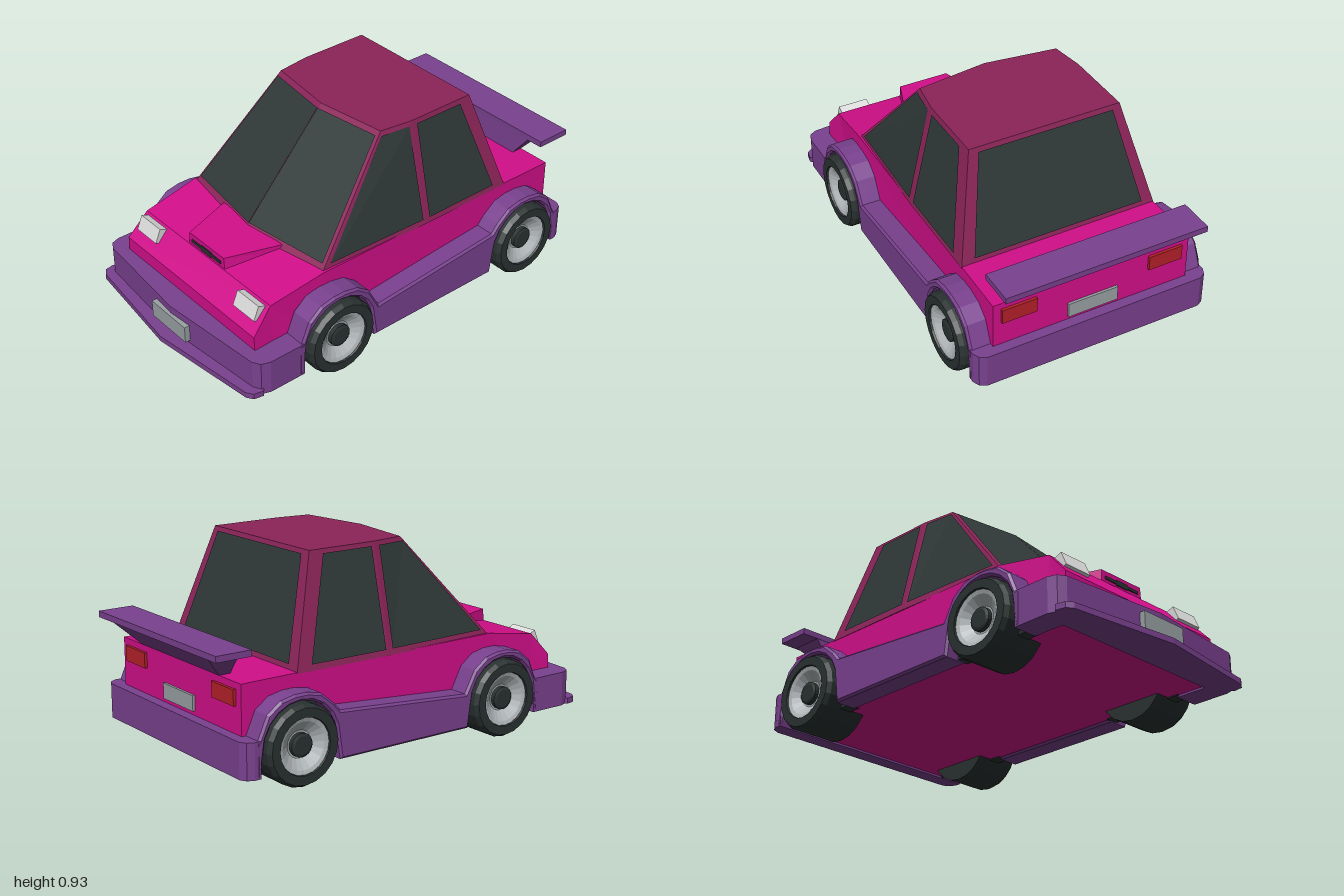
import * as THREE from 'three';

const mat = (name, color) => {
  const m = new THREE.MeshStandardMaterial({ color });
  m.name = name;
  return m;
};

export function createModel() {
  const car = new THREE.Group();
  car.name = 'car';
  const magenta = mat('magentaPaint', 0xd20f8a);
  const maroon = mat('cabinPaint', 0x8c2459);
  const purple = mat('purpleTrim', 0x7a418f);
  const glass = mat('glass', 0x2f3938);
  const rubber = mat('rubber', 0x2a3231);
  const steel = mat('steel', 0xb2b7ba);
  const white = mat('lampWhite', 0xdcdcdc);
  const grey = mat('plateGrey', 0x9aa1a4);
  const red = mat('lampRed', 0xb5202a);

  // Adds a faceted mesh
  const add = (name, geo, material, parent = car) => {
    const g = geo.index ? geo.toNonIndexed() : geo;
    g.computeVertexNormals();
    const mesh = new THREE.Mesh(g, material);
    mesh.name = name;
    parent.add(mesh);
    return mesh;
  };
  const box = (name, m, w, h, d, x, y, z) => {
    const b = add(name, new THREE.BoxGeometry(w, h, d), m);
    b.position.set(x, y, z);
    return b;
  };
  const fromTriangles = (pts) => new THREE.BufferGeometry().setFromPoints(
    pts.map((p) => (p.isVector3 ? p : new THREE.Vector3(...p))));
  // Closed solid through matching rings (counterclockwise seen from the last one)
  const loft = (rings) => {
    const tri = [];
    const n = rings[0].length;
    for (let r = 0; r < rings.length - 1; r++) {
      const a = rings[r], b = rings[r + 1];
      for (let i = 0; i < n; i++) {
        const j = (i + 1) % n;
        tri.push(a[i], a[j], b[j], a[i], b[j], b[i]);
      }
    }
    const first = rings[0], last = rings[rings.length - 1];
    for (let i = 1; i < n - 1; i++) {
      tri.push(first[0], first[i + 1], first[i], last[0], last[i], last[i + 1]);
    }
    return fromTriangles(tri);
  };
  // Symmetric cross-section at one z
  const section = (z, y0, y1, xb, xt) => [[-xb, y0, z], [xb, y0, z], [xt, y1, z], [-xt, y1, z]];

  // Main body with sloping nose
  add('body', loft([
    section(-0.88, 0.085, 0.455, 0.475, 0.475),
    section(0.46, 0.085, 0.457, 0.475, 0.467),
    section(0.735, 0.085, 0.41, 0.475, 0.452),
    section(0.835, 0.085, 0.3, 0.475, 0.465),
  ]), magenta);

  // Hood scoop and its vent
  add('hoodScoop', loft([
    section(0.48, 0.43, 0.469, 0.21, 0.21),
    section(0.73, 0.395, 0.466, 0.13, 0.125),
  ]), magenta);
  box('scoopVent', rubber, 0.21, 0.014, 0.008, 0, 0.434, 0.731);
  box('scoopVentCentre', rubber, 0.07, 0.024, 0.008, 0, 0.434, 0.731);

  // Cabin: front centre, then around the left, back and right
  const ring = (y, f, fl, b, r) => [[0, y, f], [fl[0], y, fl[1]], [b[0], y, b[1]], [r[0], y, r[1]],
    [-r[0], y, r[1]], [-b[0], y, b[1]], [-fl[0], y, fl[1]]];
  const low = ring(0.45, 0.52, [0.457, 0.46], [0.475, -0.12], [0.475, -0.605]);
  const high = ring(0.93, 0.085, [0.34, 0.04], [0.362, -0.12], [0.362, -0.46]);
  add('cabin', loft([low, high]), maroon);

  // Windows: cabin side, then start and end along its lower and upper edge
  const V = (p) => new THREE.Vector3(...p);
  const windows = [
    ['windscreenLeft', 0, 0, 0.97, 0, 0.965], ['windscreenRight', 6, 0.03, 1, 0.035, 1],
    ['frontWindowLeft', 1, 0.04, 0.97, 0.07, 0.88], ['frontWindowRight', 5, 0.03, 0.96, 0.12, 0.93],
    ['rearWindowLeft', 2, 0.04, 0.86, 0.06, 0.8], ['rearWindowRight', 4, 0.14, 0.96, 0.2, 0.94],
    ['backWindow', 3, 0.06, 0.94, 0.06, 0.94],
  ];
  for (const [name, i, b0, b1, t0, t1] of windows) {
    const j = (i + 1) % 7;
    const a = V(low[i]), b = V(low[j]), c = V(high[j]), d = V(high[i]);
    const out = b.clone().sub(a).cross(d.clone().sub(a)).normalize().multiplyScalar(0.006);
    const at = (u, v) => a.clone().lerp(b, u).lerp(d.clone().lerp(c, u), v).add(out);
    const [p, q, r, s] = [at(b0, 0.055), at(b1, 0.055), at(t1, 0.96), at(t0, 0.96)];
    add(name, fromTriangles([p, q, r, p, r, s]), glass);
  }

  // Bumpers: plan outline given for one half as [x, z]
  const planSlab = (name, half, y0, y1) => {
    const pts = [...half, ...half.map(([x, z]) => [-x, z]).reverse()];
    const shape = new THREE.Shape(pts.map(([x, z]) => new THREE.Vector2(x, z)));
    const g = new THREE.ExtrudeGeometry(shape, { depth: y1 - y0, bevelEnabled: false });
    add(name, g.rotateX(Math.PI / 2).translate(0, y1, 0), purple);
  };
  planSlab('frontBumper', [[0.001, 0.935], [0.52, 0.89], [0.555, 0.87], [0.569, 0.83], [0.569, 0.65],
    [0.45, 0.65], [0.45, 0.8], [0.001, 0.8]], 0.075, 0.235);
  planSlab('frontLip', [[0.001, 0.997], [0.53, 0.935], [0.56, 0.915], [0.569, 0.87], [0.5, 0.82],
    [0.001, 0.82]], 0.075, 0.102);
  planSlab('rearBumper', [[0.001, -0.927], [0.525, -0.927], [0.555, -0.91], [0.569, -0.88],
    [0.569, -0.85], [0.45, -0.85], [0.001, -0.85]], 0.075, 0.235);

  // Side outlines are drawn as (z, y) and extruded across x
  const sideSlab = (name, shape, x0, x1, bevel, m) => {
    const g = new THREE.ExtrudeGeometry(shape, {
      depth: x1 - x0 - 2 * bevel, bevelEnabled: bevel > 0, bevelSize: bevel, bevelOffset: -bevel,
      bevelThickness: bevel, bevelSegments: 1, curveSegments: 12,
    });
    add(name, g.rotateY(-Math.PI / 2).translate(x1 - bevel, 0, 0), m);
  };
  const axles = [0.455, -0.65];
  const flare = [[0.205, 0.235], [0.165, 0.33], [0.1, 0.382], [0.03, 0.396], [-0.03, 0.396],
    [-0.1, 0.382], [-0.165, 0.335]];
  const arch = [];
  for (let k = 0; k <= 10; k++) {
    const t = (Math.PI * k) / 10;
    arch.push([-0.185 * Math.cos(t), 0.18 + 0.185 * Math.sin(t)]);
  }
  const opening = [[-0.2, 0.075], ...arch, [0.2, 0.075]];
  const shift = (pts, z) => pts.map(([a, b]) => [a + z, b]);
  const skirt = new THREE.Shape([
    [0.68, 0.075], [0.68, 0.235], ...shift(flare, axles[0]), [0.235, 0.235],
    [-0.45, 0.29], ...shift(flare.slice(1), axles[1]), [-0.86, 0.235], [-0.87, 0.235], [-0.87, 0.075],
    ...shift(opening, axles[1]), ...shift(opening, axles[0]),
  ].map(([a, b]) => new THREE.Vector2(a, b)));

  for (const [side, s] of [['left', 1], ['right', -1]]) {
    const span = (a, b) => (s > 0 ? [a, b] : [-b, -a]);
    sideSlab(side + 'SkirtAndFlares', skirt, ...span(0.455, 0.57), 0.01, purple);

    axles.forEach((z, i) => {
      const label = side + (i ? 'Rear' : 'Front');
      // Dark arch lining behind the wheel
      const lining = new THREE.Shape([[-0.205, 0.08], ...arch.map(([a, b]) => [a * 1.05, b + 0.008]),
        [0.205, 0.08]].map(([a, b]) => new THREE.Vector2(a + z, b)));
      sideSlab(label + 'ArchLining', lining, ...span(0.44, 0.5), 0, rubber);

      // Wheel: tyre, dished rim and hub, built around the x axis
      const wheel = new THREE.Group();
      wheel.name = label + 'Wheel';
      const turn = (name, pts, m) => add(name, new THREE.LatheGeometry(
        pts.map(([r, x]) => new THREE.Vector2(r, x)), 20).rotateZ(-Math.PI / 2), m, wheel);
      turn('tyre', [[0, 0.37], [0.177, 0.37], [0.177, 0.575], [0.165, 0.596], [0.125, 0.596],
        [0.12, 0.58]], rubber);
      turn('rim', [[0.123, 0.588], [0.105, 0.582], [0.06, 0.55], [0, 0.55]], steel);
      turn('hub', [[0.052, 0.545], [0.052, 0.57], [0.04, 0.575], [0, 0.575]], rubber);
      wheel.position.set(0, 0.178, z);
      wheel.rotation.y = s > 0 ? 0 : Math.PI;
      car.add(wheel);
    });

    // Lamps
    const head = box(side + 'Headlight', white, 0.145, 0.07, 0.045, s * 0.357, 0.375, 0.772);
    head.rotation.x = -0.4;
    box(side + 'TailLight', red, 0.165, 0.07, 0.02, s * 0.355, 0.39, -0.883);
  }

  // Number plates
  box('frontPlate', grey, 0.245, 0.08, 0.03, 0, 0.16, 0.935);
  box('rearPlate', grey, 0.24, 0.07, 0.015, 0, 0.29, -0.884);

  // Rear wing on a flared stand
  box('wing', purple, 0.96, 0.028, 0.17, 0, 0.576, -0.913);
  const foot = (y, x, z0, z1) => [[-x, y, z1], [x, y, z1], [x, y, z0], [-x, y, z0]];
  add('wingStand', loft([foot(0.45, 0.31, -0.875, -0.825), foot(0.565, 0.4, -0.99, -0.83)]), purple);

  return car;
}
